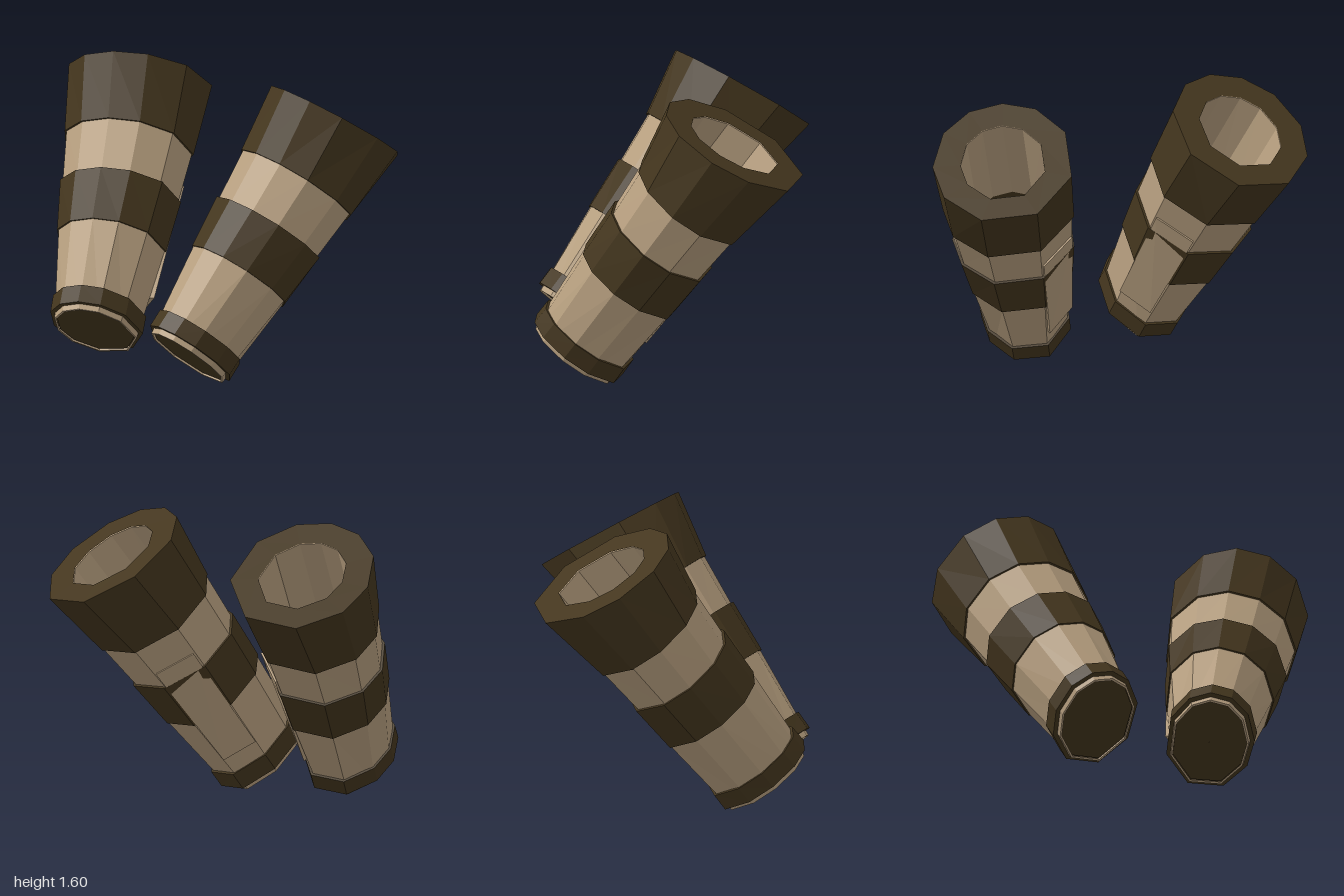
import * as THREE from 'three';
import { ConvexGeometry } from 'three/addons/geometries/ConvexGeometry.js';

// Corner angles around each ring: 0 is the front, facets are wider at the back
const CORNERS = [-73, -39, -11, 17, 46, 80, 111, 150, 197, 243];
const mat = (color) => new THREE.MeshStandardMaterial({ color, flatShading: true, side: THREE.DoubleSide });
const hide = mat(0xb8a080);
const leather = mat(0x44361e);

// Tilted frame of one cuff: axis runs up the sleeve, U is sideways, V is forward
const ORIGIN = new THREE.Vector3(0.3, 0.16, 0.495);
const AXIS = new THREE.Vector3(0.229, 0.79, -0.569);
const U = new THREE.Vector3(0.973, -0.18, 0.13);
const V = new THREE.Vector3(0, 0.584, 0.811);

// Point on an elliptical ring [distance along axis, sideways radius, forward radius, skew]
function ringPoint([s, a, b, skew = 0], degrees, mirror) {
  const t = THREE.MathUtils.degToRad(degrees);
  const p = ORIGIN.clone()
    .addScaledVector(AXIS, s - skew * Math.cos(t))
    .addScaledVector(U, a * Math.sin(t))
    .addScaledVector(V, b * Math.cos(t));
  p.x *= mirror;
  return p;
}

// Skin a list of rings, listed upward on the outside and downward on the inside
function skin(rings, mirror) {
  const pos = [];
  for (let r = 0; r < rings.length - 1; r++) {
    CORNERS.forEach((angle, i) => {
      const next = CORNERS[(i + 1) % CORNERS.length];
      const a = ringPoint(rings[r], angle, mirror), b = ringPoint(rings[r], next, mirror);
      const c = ringPoint(rings[r + 1], next, mirror), d = ringPoint(rings[r + 1], angle, mirror);
      const quad = mirror > 0 ? [a, b, c, a, c, d] : [a, c, b, a, d, c];
      for (const p of quad) pos.push(p.x, p.y, p.z);
    });
  }
  const g = new THREE.BufferGeometry();
  g.setAttribute('position', new THREE.Float32BufferAttribute(pos, 3));
  g.computeVertexNormals();
  return g;
}

function cuff(name, mirror, lift) {
  const group = new THREE.Group();
  group.name = name;
  group.position.y = lift;
  const add = (part, geometry, material) => {
    const m = new THREE.Mesh(geometry, material);
    m.name = part;
    group.add(m);
  };

  // Tapered sleeve, folded over the rim into the upper lining
  add('sleeve', skin([
    [0, 0.197, 0.245], [0, 0.207, 0.258], [0.51, 0.282, 0.296], [0.8, 0.314, 0.306], [1.1, 0.344, 0.33],
    [1.46, 0.345, 0.375, 0.045], [1.475, 0.225, 0.258, 0.03], [0.84, 0.22, 0.25],
  ], mirror), hide);

  // Dark lower lining
  add('lowerLining', skin([[0.84, 0.22, 0.25], [0.01, 0.197, 0.245]], mirror), leather);

  // Leather bands wrapped around the sleeve
  add('wristBand', skin([
    [0.03, 0.19, 0.24], [0.03, 0.235, 0.285], [0.13, 0.238, 0.282], [0.13, 0.2, 0.24],
  ], mirror), leather);
  add('middleBand', skin([
    [0.51, 0.25, 0.27], [0.51, 0.29, 0.304], [0.8, 0.328, 0.32], [0.8, 0.29, 0.28],
  ], mirror), leather);
  add('topBand', skin([
    [1.08, 0.31, 0.3], [1.08, 0.352, 0.338], [1.48, 0.372, 0.408, 0.045], [1.48, 0.225, 0.258, 0.03],
  ], mirror), leather);

  // Floor closing the narrow end
  add('wristFloor', skin([[0.01, 0.001, 0.001], [0.01, 0.197, 0.245]], mirror), leather);

  // Raised overlap on the inner back of the sleeve, tucked under the middle band
  const flap = [];
  for (const angle of [199, 241]) {
    flap.push(
      ringPoint([0.24, 0.22, 0.25], angle, mirror), ringPoint([0.24, 0.268, 0.29], angle, mirror),
      ringPoint([0.9, 0.3, 0.29], angle, mirror), ringPoint([0.9, 0.33, 0.32], angle, mirror));
  }
  add('sleeveFlap', new ConvexGeometry(flap), hide);
  return group;
}

export function createModel() {
  const model = new THREE.Group();
  model.name = 'pairOfCuffs';
  model.add(cuff('leftCuff', 1, 0), cuff('rightCuff', -1, 0.07));
  return model;
}
